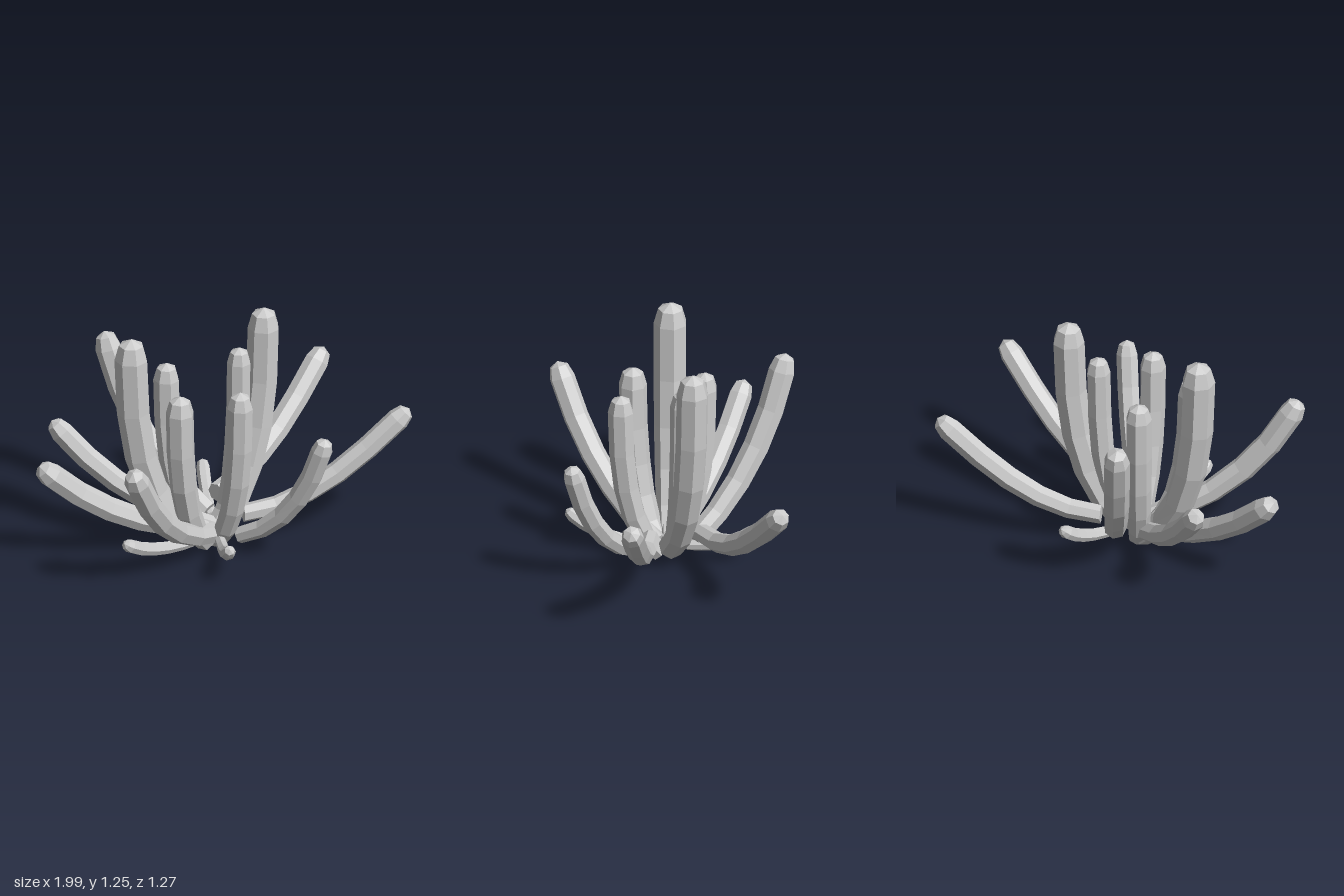
import * as THREE from 'three';

const SIDES = 7;
// path position of each ring before the domed tip
const STEPS = [0, 0.2, 0.4, 0.6, 0.8, 1];

// two path controls, each [outward, upward] as fractions of base-to-tip
const UPRIGHT = [[0.7, 0.14], [1, 0.45]];
const REACHING = [[0.34, 0], [0.62, 0.37]];
const SHOOT = [[0.37, 0.03], [0.72, 0.36]];

// base [x,y,z], tip apex [x,y,z], radius, path controls
const ARMS = {
  uprightArm: [
    [[-0.12, 0.04, 0], [-0.48, 1.255, 0], 0.088, UPRIGHT],
    [[0.01, 0.08, -0.005], [0.29, 1.245, -0.12], 0.084, UPRIGHT],
    [[0.01, 0.07, -0.01], [0.135, 1.065, -0.065], 0.063, UPRIGHT],
    [[-0.1, 0.03, 0.06], [-0.28, 0.98, 0.195], 0.074, UPRIGHT],
    [[-0.03, 0.03, 0.06], [0.03, 0.98, 0.255], 0.068, UPRIGHT],
    [[-0.1, 0.03, -0.02], [-0.225, 0.98, -0.178], 0.069, UPRIGHT],
  ],
  spreadingArm: [
    [[0.1, 0.18, 0.1], [0.98, 0.69, 0.195], 0.061, REACHING],
    [[0.04, 0.18, -0.16], [0.785, 0.69, -0.59], 0.063, REACHING],
    [[-0.07, 0.08, 0], [-0.985, 0.595, 0], 0.066, [[0.34, 0.08], [0.67, 0.41]]],
    [[-0.02, 0.08, 0.01], [-0.785, 0.635, -0.385], 0.061, [[0.37, 0.1], [0.7, 0.45]]],
    [[-0.02, 0.1, -0.12], [-0.42, 0.99, -0.6], 0.07, [[0.45, 0.17], [0.79, 0.5]]],
    [[-0.04, 0.07, 0.06], [-0.675, 0.8, 0.59], 0.067, [[0.41, 0.12], [0.75, 0.45]]],
    [[0.06, 0.09, 0.16], [0.41, 0.765, 0.51], 0.057, [[0.47, 0.13], [0.8, 0.48]]],
  ],
  smallShoot: [
    [[-0.15, 0.07, 0.1], [-0.62, 0.222, 0.293], 0.036, SHOOT],
    [[-0.04, 0.07, 0.14], [-0.125, 0.225, 0.54], 0.036, SHOOT],
    [[-0.01, 0.08, -0.09], [0.068, 0.225, -0.455], 0.036, SHOOT],
  ],
};

// one faceted arm: rings swept along a bent path, then a stepped dome
function armGeometry([base, tip, radius, controls]) {
  const a = new THREE.Vector3(...base), b = new THREE.Vector3(...tip);
  const [c1, c2] = controls.map(([out, up]) => new THREE.Vector3(
    a.x + (b.x - a.x) * out, a.y + (b.y - a.y) * up, a.z + (b.z - a.z) * out));
  const endDir = b.clone().sub(c2).normalize();
  const shoulder = b.clone().addScaledVector(endDir, -1.35 * radius);
  const path = new THREE.CubicBezierCurve3(a, c1, c2, shoulder);
  const side = new THREE.Vector3(b.z - a.z, 0, a.x - b.x).normalize();

  const rings = STEPS.map(t => [path.getPoint(t), path.getTangent(t), radius * (0.8 + 0.2 * Math.min(1, 1.5 * t))]);
  rings.push([b.clone().addScaledVector(endDir, -0.4 * radius), endDir, radius * 0.74]);

  const positions = [], index = [];
  for (const [centre, dir, r] of rings) {
    const normal = new THREE.Vector3().crossVectors(dir, side);
    for (let k = 0; k < SIDES; k++) {
      const angle = k / SIDES * Math.PI * 2;
      const p = centre.clone()
        .addScaledVector(side, Math.cos(angle) * r)
        .addScaledVector(normal, Math.sin(angle) * r);
      // feet are cut level with the ground
      positions.push(p.x, Math.max(0, p.y), p.z);
    }
  }
  const foot = rings.length * SIDES, apex = foot + 1, last = foot - SIDES;
  positions.push(...base, ...tip);

  for (let k = 0; k < SIDES; k++) {
    const n = (k + 1) % SIDES;
    for (let i = 0; i < rings.length - 1; i++) {
      const lo = i * SIDES, hi = lo + SIDES;
      index.push(lo + k, lo + n, hi + n, lo + k, hi + n, hi + k);
    }
    index.push(last + k, last + n, apex, foot, n, k);
  }
  const geometry = new THREE.BufferGeometry();
  geometry.setAttribute('position', new THREE.Float32BufferAttribute(positions, 3));
  geometry.setIndex(index);
  const flat = geometry.toNonIndexed();
  flat.computeVertexNormals();
  return flat;
}

export function createModel() {
  const model = new THREE.Group();
  model.name = 'cactus';
  const material = new THREE.MeshStandardMaterial({ color: 0xcccccc, flatShading: true });
  for (const [name, arms] of Object.entries(ARMS)) {
    arms.forEach((arm, i) => {
      const mesh = new THREE.Mesh(armGeometry(arm), material);
      mesh.name = name + (i + 1);
      model.add(mesh);
    });
  }
  return model;
}
